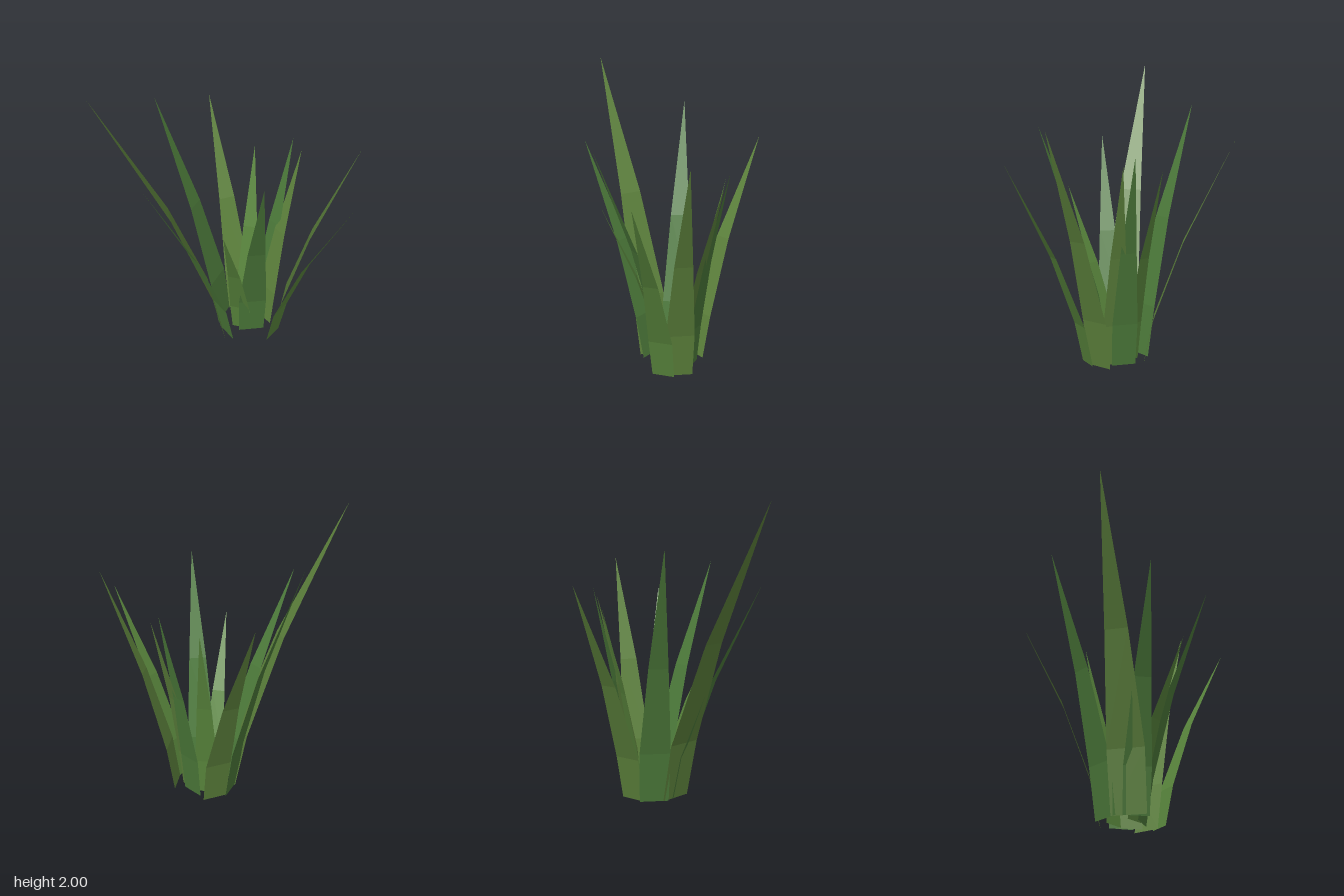
import * as THREE from 'three';

const paint = (name, color) =>
  new THREE.MeshStandardMaterial({ name, color, flatShading: true, side: THREE.DoubleSide });

// Height, outward reach and width of each joint, as fractions of the blade
const JOINTS = [
  { y: 0, reach: 0, width: 0.114 },
  { y: 0.2, reach: 0.105, width: 0.122 },
  { y: 0.55, reach: 0.435, width: 0.076 },
];

// A thin blade that leans out from its base and narrows to a point
function bladeGeometry(baseX, baseZ, tipX, tipY, tipZ) {
  const dx = tipX - baseX, dz = tipZ - baseZ;
  const length = Math.hypot(dx, dz);
  const sideX = -dz / length, sideZ = dx / length;
  const points = [], index = [];
  for (const j of JOINTS) {
    for (const s of [-0.5, 0.5]) {
      const w = s * j.width * tipY;
      points.push(baseX + dx * j.reach + sideX * w, j.y * tipY, baseZ + dz * j.reach + sideZ * w);
    }
  }
  points.push(tipX, tipY, tipZ);
  for (let i = 0; i < JOINTS.length - 1; i++) {
    const a = i * 2;
    index.push(a, a + 2, a + 1, a + 1, a + 2, a + 3);
  }
  index.push(4, 6, 5);
  const geometry = new THREE.BufferGeometry();
  geometry.setAttribute('position', new THREE.Float32BufferAttribute(points, 3));
  geometry.setIndex(index);
  const flat = geometry.toNonIndexed();
  flat.computeVertexNormals();
  return flat;
}

export function createModel() {
  const leaf = paint('leafGreen', 0x5a873d);
  const deep = paint('deepGreen', 0x4c7a3a);
  const olive = paint('oliveGreen', 0x5d823c);

  // Base x, base z, tip x, tip y, tip z, colour
  const blades = [
    [-0.05, -0.145, -0.41, 1.5, -0.61, olive],
    [-0.135, -0.02, -0.61, 1.72, -0.095, deep],
    [-0.1, 0.14, -0.79, 2.0, 0.5, olive],
    [-0.06, 0.165, -0.43, 1.48, 0.61, deep],
    [0.025, 0.08, 0.03, 1.15, 0.5, leaf],
    [0.1, 0.08, 0.29, 1.58, 0.52, deep],
    [0.262, 0.088, 0.79, 1.36, 0.28, leaf],
    [0.26, -0.02, 0.76, 1.59, -0.06, olive],
    [0.155, -0.06, 0.333, 1.36, -0.3, olive],
    [0.12, -0.11, 0.265, 1.42, -0.34, deep],
    [0.02, -0.085, 0, 1.31, -0.34, leaf],
  ];

  const group = new THREE.Group();
  group.name = 'grassTuft';
  blades.forEach(([bx, bz, tx, ty, tz, material], i) => {
    const mesh = new THREE.Mesh(bladeGeometry(bx, bz, tx, ty, tz), material);
    mesh.name = `blade${i + 1}`;
    group.add(mesh);
  });
  return group;
}
